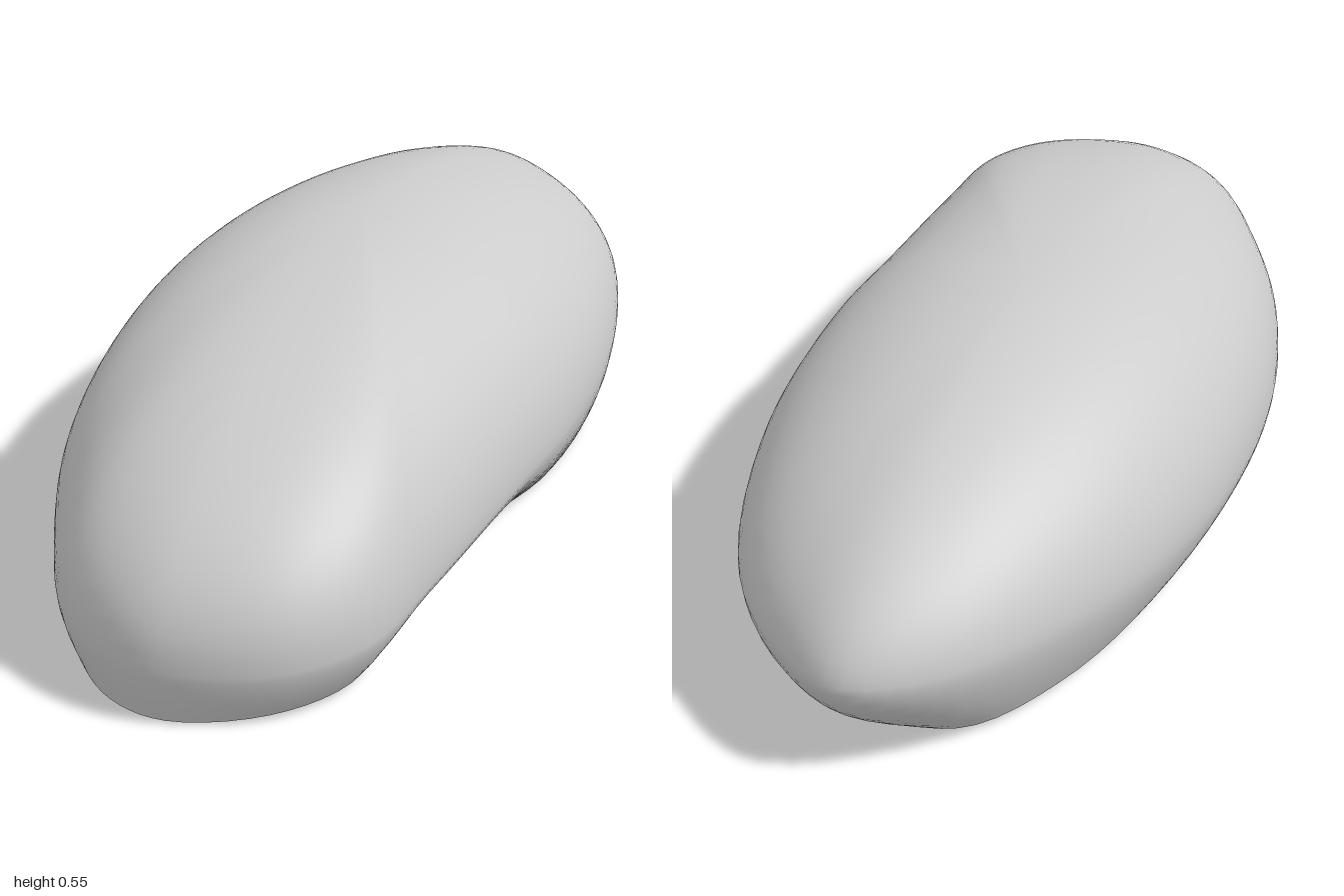
import * as THREE from 'three';

// Widest outline of the shell: [x, z], from the front round by +x
const OUTLINE = [
  [0.08, 1], [0.28, 0.925], [0.39, 0.78], [0.42, 0.55], [0.445, 0.2], [0.462, -0.05], [0.435, -0.38],
  [0.325, -0.71], [0.165, -0.91], [0, -1], [-0.175, -0.9], [-0.345, -0.62], [-0.44, -0.3], [-0.467, 0],
  [-0.45, 0.25], [-0.39, 0.5], [-0.31, 0.68], [-0.17, 0.9], [-0.05, 0.98],
];

// Open bottom edge: [x, y, z], matched point for point with the outline
const RIM = [
  [0.08, 0, 0.98], [0.25, 0.01, 0.9], [0.345, 0.015, 0.75], [0.325, 0.02, 0.5], [0.345, 0.025, 0.2],
  [0.4, 0.015, -0.08], [0.385, 0.01, -0.38], [0.28, 0.012, -0.64], [0.13, 0.015, -0.79], [-0.02, 0.015, -0.83],
  [-0.17, 0.018, -0.8], [-0.3, 0.02, -0.6], [-0.385, 0.025, -0.3], [-0.415, 0.025, 0], [-0.41, 0.025, 0.23],
  [-0.355, 0.025, 0.47], [-0.285, 0.025, 0.66], [-0.15, 0.012, 0.88], [-0.04, 0.003, 0.965],
];

const APEX = new THREE.Vector3(-0.02, 0.545, -0.1);
const AROUND = 96, LOWER = 8, UPPER = 24;

const closedCurve = (pts) => new THREE.CatmullRomCurve3(pts, true, 'centripetal');

function shellGeometry() {
  // The widest line lies a little higher at the back than at the front
  const outline = closedCurve(OUTLINE.map(([x, z]) => new THREE.Vector3(x, 0.16 - 0.045 * z, z)));
  const rim = closedCurve(RIM.map((p) => new THREE.Vector3(...p)));
  const positions = [], index = [];

  // Lower rings: from the rim out to the widest line
  for (let j = 0; j < LOWER; j++) {
    const s = 1 - j / LOWER, inset = s ** 1.6;
    for (let i = 0; i < AROUND; i++) {
      const o = outline.getPoint(i / AROUND), r = rim.getPoint(i / AROUND);
      positions.push(
        THREE.MathUtils.lerp(o.x, r.x, inset),
        THREE.MathUtils.lerp(o.y, r.y, s),
        THREE.MathUtils.lerp(o.z, r.z, inset),
      );
    }
  }

  // Upper rings: a domed arc from the widest line to the apex, more pointed at the back
  for (let j = 0; j < UPPER; j++) {
    const a = (j / UPPER) * Math.PI / 2;
    for (let i = 0; i < AROUND; i++) {
      const o = outline.getPoint(i / AROUND);
      const n = o.z < 0 ? 2.05 + 0.28 * o.z : 2.05 + 0.05 * o.z;
      const rho = Math.cos(a) ** (2 / n), h = Math.sin(a) ** (2 / n);
      positions.push(
        APEX.x + (o.x - APEX.x) * rho,
        o.y + (APEX.y - o.y) * h,
        APEX.z + (o.z - APEX.z) * rho,
      );
    }
  }
  positions.push(APEX.x, APEX.y, APEX.z);

  // Join the rings, then close the top with a fan
  const rings = LOWER + UPPER, top = rings * AROUND;
  for (let j = 0; j < rings; j++) {
    for (let i = 0; i < AROUND; i++) {
      const k = (i + 1) % AROUND;
      const a = j * AROUND + i, b = j * AROUND + k;
      if (j === rings - 1) index.push(a, b, top);
      else index.push(a, b, b + AROUND, a, b + AROUND, a + AROUND);
    }
  }

  const geometry = new THREE.BufferGeometry();
  geometry.setAttribute('position', new THREE.Float32BufferAttribute(positions, 3));
  geometry.setIndex(index);
  geometry.computeVertexNormals();
  return geometry;
}

export function createModel() {
  const group = new THREE.Group();
  group.name = 'openShell';
  const material = new THREE.MeshStandardMaterial({ color: 0xcccccc, side: THREE.DoubleSide });
  const shell = new THREE.Mesh(shellGeometry(), material);
  shell.name = 'shell';
  group.add(shell);
  return group;
}
